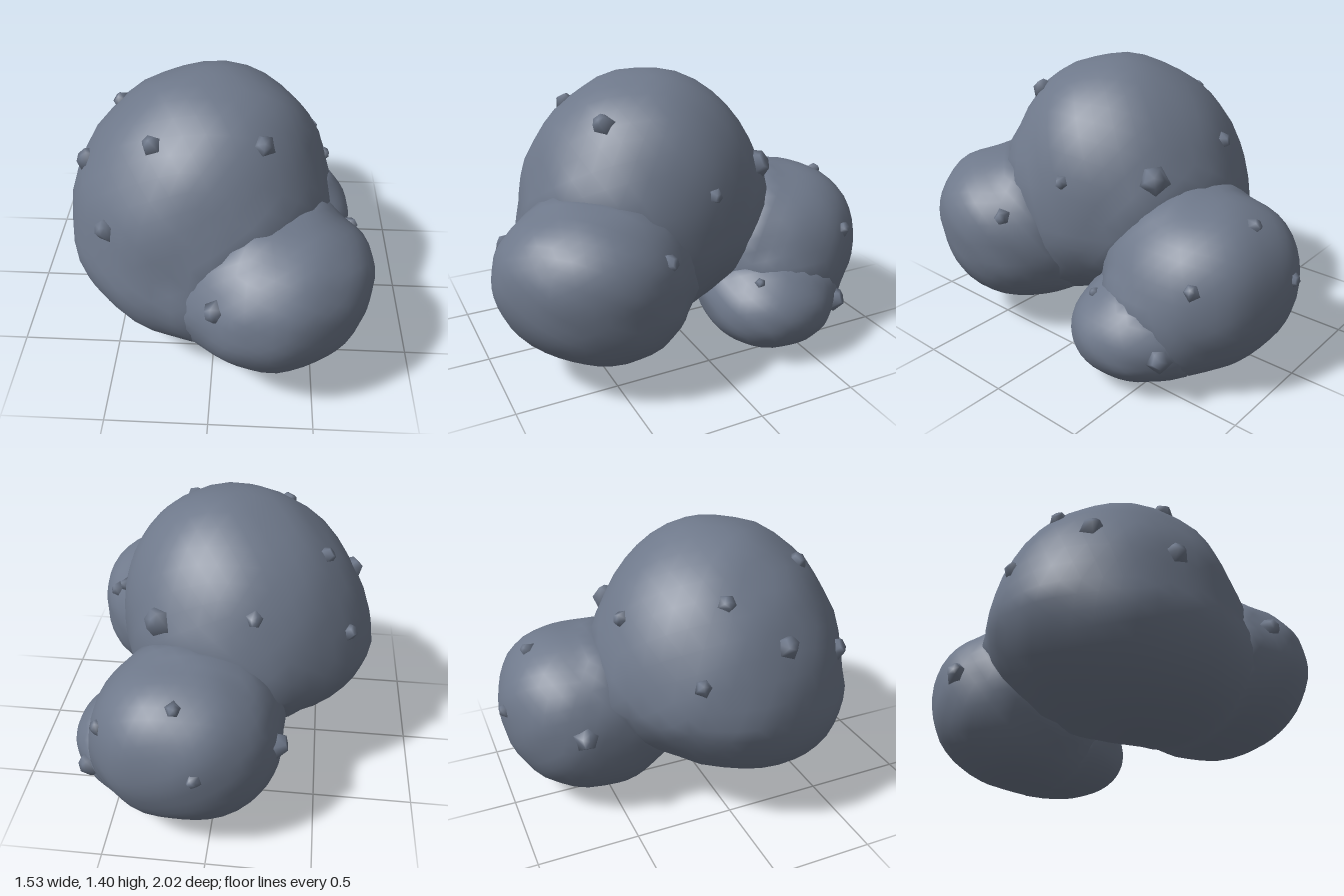
import * as THREE from 'three';
import { mergeVertices } from 'three/addons/utils/BufferGeometryUtils.js';

// c: centre, r: radii (x, z), up/down: vertical radii, p: roundness (2 = ellipsoid), yaw: turn about y,
// leanUp/leanDown: [x, z] drift per unit of height above and below the centre,
// nubs: [x, y, z, size] rough spots snapped to the surface
const BOULDERS = [
  {
    name: 'mainBoulder', c: [-0.1, 0.64, 0.105], r: [0.655, 0.645], up: 0.76, down: 0.54, p: 2, yaw: 0,
    leanUp: [0.11, 0.01], leanDown: [0, -0.35],
    nubs: [
      [0.31, 0.95, -0.38, 0.11], [0.53, 0.9, 0.0, 0.05], [-0.17, 1.02, -0.43, 0.06],
      [-0.48, 1.15, -0.03, 0.065], [-0.6, 0.95, 0.2, 0.085], [-0.27, 1.2, 0.43, 0.07],
      [0.22, 1.22, 0.43, 0.075], [-0.64, 0.85, -0.22, 0.06], [-0.5, 0.83, 0.57, 0.08],
    ],
  },
  {
    name: 'frontBoulder', c: [0.31, 0.49, 0.54], r: [0.475, 0.43], up: 0.4, down: 0.385, p: 2.1, yaw: Math.PI / 4,
    leanUp: [0.16, 0.1], leanDown: [0, 0.12],
    nubs: [[0.04, 0.62, 0.86, 0.075], [0.7, 0.7, 0.27, 0.06]],
  },
  {
    name: 'backBoulder', c: [0.14, 0.42, -0.55], r: [0.47, 0.445], up: 0.44, down: 0.42, p: 2.15, yaw: 0,
    leanUp: [0, -0.1], leanDown: [0, -0.1],
    nubs: [
      [-0.32, 0.5, -0.67, 0.085], [0.05, 0.53, -0.98, 0.05], [0.15, 0.78, -0.82, 0.055],
      [0.53, 0.6, -0.76, 0.055],
    ],
  },
  {
    name: 'smallBoulder', c: [0.405, 0.24, -0.39], r: [0.345, 0.33], up: 0.23, down: 0.235, p: 2.1, yaw: 0,
    leanUp: [0, 0], leanDown: [0, 0],
    nubs: [[0.62, 0.26, -0.66, 0.085], [0.6, 0.44, -0.22, 0.04]],
  },
];
const UP = new THREE.Vector3(0, 1, 0);
const BLEND = 0.14;

const pNorm = (v, p) => (Math.abs(v.x) ** p + Math.abs(v.y) ** p + Math.abs(v.z) ** p) ** (1 / p);
const leanOf = (b, h) => (h > 0 ? b.leanUp : b.leanDown);

// World point to the boulder's unit space
function toUnit(b, v) {
  const h = v.y - b.c[1];
  const [lx, lz] = leanOf(b, h);
  const q = new THREE.Vector3(v.x - b.c[0] - lx * h, h, v.z - b.c[2] - lz * h);
  q.applyAxisAngle(UP, -b.yaw);
  return q.set(q.x / b.r[0], h / (h > 0 ? b.up : b.down), q.z / b.r[1]);
}

function surfaceNormal(b, d) {
  const n = new THREE.Vector3(d.x / b.r[0], d.y / (d.y > 0 ? b.up : b.down), d.z / b.r[1]);
  n.applyAxisAngle(UP, b.yaw);
  const [lx, lz] = leanOf(b, d.y);
  n.y -= lx * n.x + lz * n.z;
  return n.normalize();
}

// Point on a boulder in unit direction d, swelling softly where it meets a neighbour
function surfacePoint(b, d) {
  const wobble = 1 + 0.011 * Math.sin(7 * d.x + 5 * d.y + b.c[0] * 9) * Math.cos(8 * d.z - 6 * d.y + b.c[1] * 7);
  const v = d.clone().multiplyScalar(wobble / pNorm(d, b.p));
  v.multiply(new THREE.Vector3(b.r[0], d.y > 0 ? b.up : b.down, b.r[1])).applyAxisAngle(UP, b.yaw);
  const [lx, lz] = leanOf(b, v.y);
  v.set(v.x + b.c[0] + lx * v.y, v.y + b.c[1], v.z + b.c[2] + lz * v.y);

  let swell = 0;
  for (const o of BOULDERS) {
    if (o === b) continue;
    const f = Math.max(pNorm(toUnit(o, v), o.p), 0.1);
    const gap = v.distanceTo(new THREE.Vector3(...o.c)) * (1 - 1 / f);
    const near = Math.max(1 - Math.abs(gap) / BLEND, 0);
    swell = Math.max(swell, near * near * BLEND / 4);
  }
  v.addScaledVector(surfaceNormal(b, d), swell);
  v.y = Math.max(v.y, 0);
  return v;
}

// Smooth-shaded copy of a geometry with shared corners
function weld(geometry) {
  geometry.deleteAttribute('normal');
  geometry.deleteAttribute('uv');
  const welded = mergeVertices(geometry, 1e-4);
  welded.computeVertexNormals();
  return welded;
}

function boulderGeometry(b) {
  const geo = weld(new THREE.IcosahedronGeometry(1, 7));
  const pos = geo.attributes.position;
  const d = new THREE.Vector3();
  for (let i = 0; i < pos.count; i++) {
    const v = surfacePoint(b, d.fromBufferAttribute(pos, i).normalize());
    pos.setXYZ(i, v.x, v.y, v.z);
  }
  geo.computeVertexNormals();
  return geo;
}

// Small stubby chip, half sunk into the boulder and tipped a little
function makeNub(b, [x, y, z, size], i, geo, material) {
  const d = toUnit(b, new THREE.Vector3(x, y, z)).normalize();
  const nub = new THREE.Mesh(geo, material);
  nub.name = 'rockChip';
  nub.position.copy(surfacePoint(b, d));
  nub.quaternion.setFromUnitVectors(UP, surfaceNormal(b, d));
  nub.rotateY(i * 1.9);
  nub.rotateX(0.3);
  nub.scale.setScalar(size);
  return nub;
}

export function createModel() {
  const model = new THREE.Group();
  model.name = 'boulderCluster';
  const stone = new THREE.MeshStandardMaterial({ color: 0x6e788a });
  stone.name = 'slate stone';
  const chip = weld(new THREE.CylinderGeometry(0.45, 0.85, 0.75, 5));

  for (const b of BOULDERS) {
    const group = new THREE.Group();
    group.name = b.name;
    const body = new THREE.Mesh(boulderGeometry(b), stone);
    body.name = b.name + 'Body';
    group.add(body, ...b.nubs.map((n, i) => makeNub(b, n, i, chip, stone)));
    model.add(group);
  }
  return model;
}
